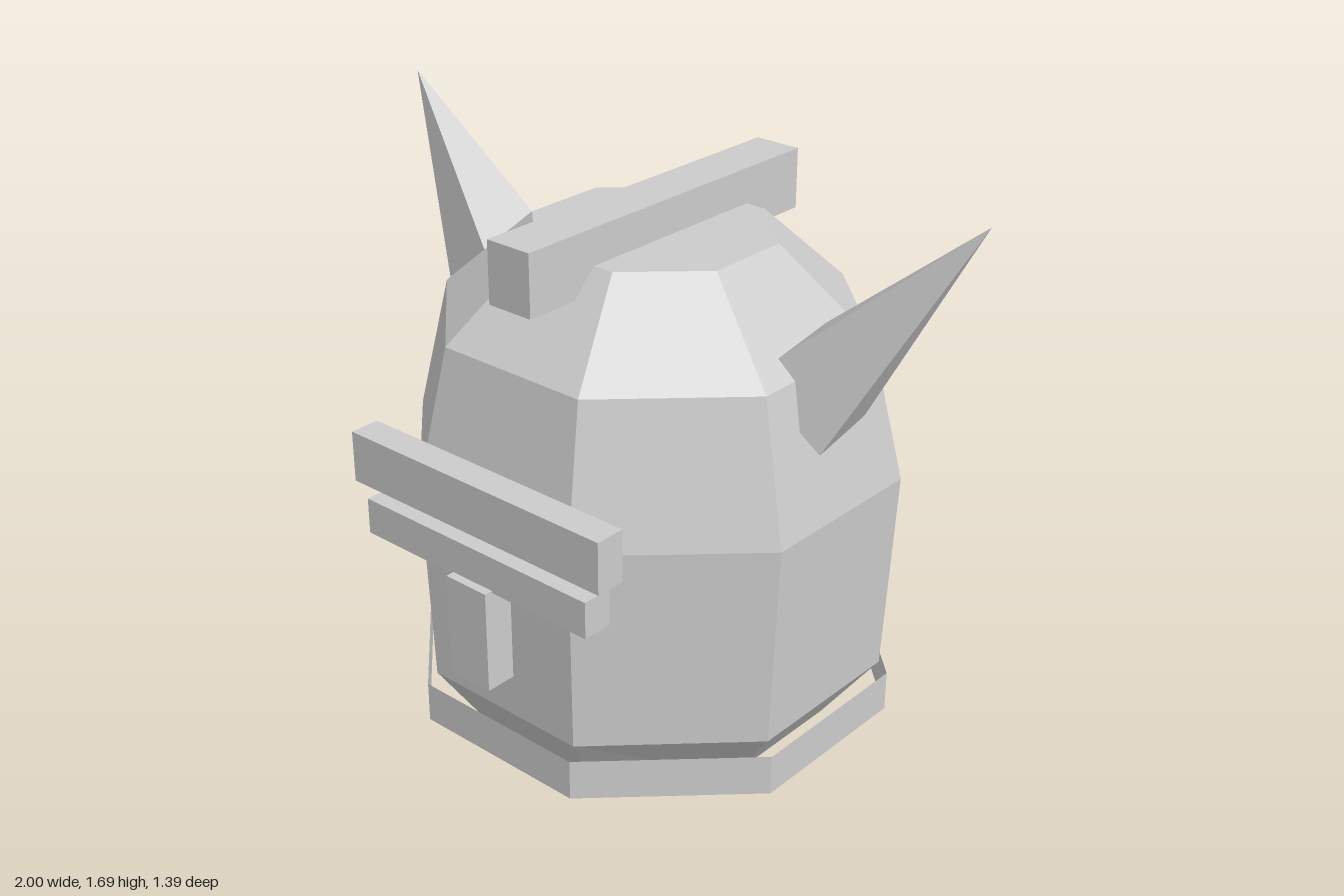
import * as THREE from 'three';
import { ConvexGeometry } from 'three/addons/geometries/ConvexGeometry.js';

// Eight-sided shell from rings of [half width x, y, half depth z], flat side to the front
function octagonShell(rings) {
  const points = rings.map(([, y, hz]) => new THREE.Vector2(hz / Math.cos(Math.PI / 8), y));
  const geometry = new THREE.LatheGeometry(points, 8, Math.PI / 8);
  const position = geometry.attributes.position;
  for (let i = 0; i < position.count; i++) {
    const [hx, , hz] = rings[i % rings.length];
    if (hz > 0) position.setX(i, position.getX(i) * hx / hz);
  }
  return geometry;
}

// Box given by its limits, symmetric in x
function bar(halfWidth, y0, y1, z0, z1) {
  return new THREE.BoxGeometry(2 * halfWidth, y1 - y0, z1 - z0)
    .translate(0, (y0 + y1) / 2, (z0 + z1) / 2);
}

export function createModel() {
  const group = new THREE.Group();
  const grey = new THREE.MeshStandardMaterial({ color: 0xcccccc, flatShading: true });
  grey.name = 'grey';
  const greyOpen = grey.clone();
  greyOpen.side = THREE.DoubleSide;

  const add = (name, geometry, material = grey) => {
    const mesh = new THREE.Mesh(geometry, material);
    mesh.name = name;
    group.add(mesh);
    return mesh;
  };

  // Closed faceted dome
  add('dome', octagonShell([
    [0, 0, 0],
    [0.49, 0, 0.49],
    [0.645, 0.215, 0.625],
    [0.672, 0.82, 0.642],
    [0.58, 1.22, 0.556],
    [0.33, 1.46, 0.313],
    [0, 1.46, 0],
  ])).position.z = -0.046;

  // Open band around the lower rim
  add('rimBand', octagonShell([[0.672, 0.063, 0.648], [0.672, 0.185, 0.648]]), greyOpen).position.z = -0.041;

  // Face guard and crest
  add('browBar', bar(0.453, 0.81, 0.96, 0.582, 0.672));
  add('eyeBar', bar(0.407, 0.663, 0.77, 0.582, 0.672));
  add('noseGuard', bar(0.073, 0.368, 0.669, 0.606, 0.698));
  add('crest', bar(0.073, 1.386, 1.564, -0.588, 0.503));

  // Four-sided horns, mirrored
  const hornCorners = [
    [1, 1.688, -0.12],
    [0.67, 1.04, 0.07],
    [0.62, 1.04, -0.195],
    [0.41, 1.21, -0.165],
    [0.46, 1.21, 0.1],
  ];
  for (const [name, side] of [['leftHorn', 1], ['rightHorn', -1]]) {
    add(name, new ConvexGeometry(hornCorners.map(([x, y, z]) => new THREE.Vector3(side * x, y, z))));
  }
  return group;
}
